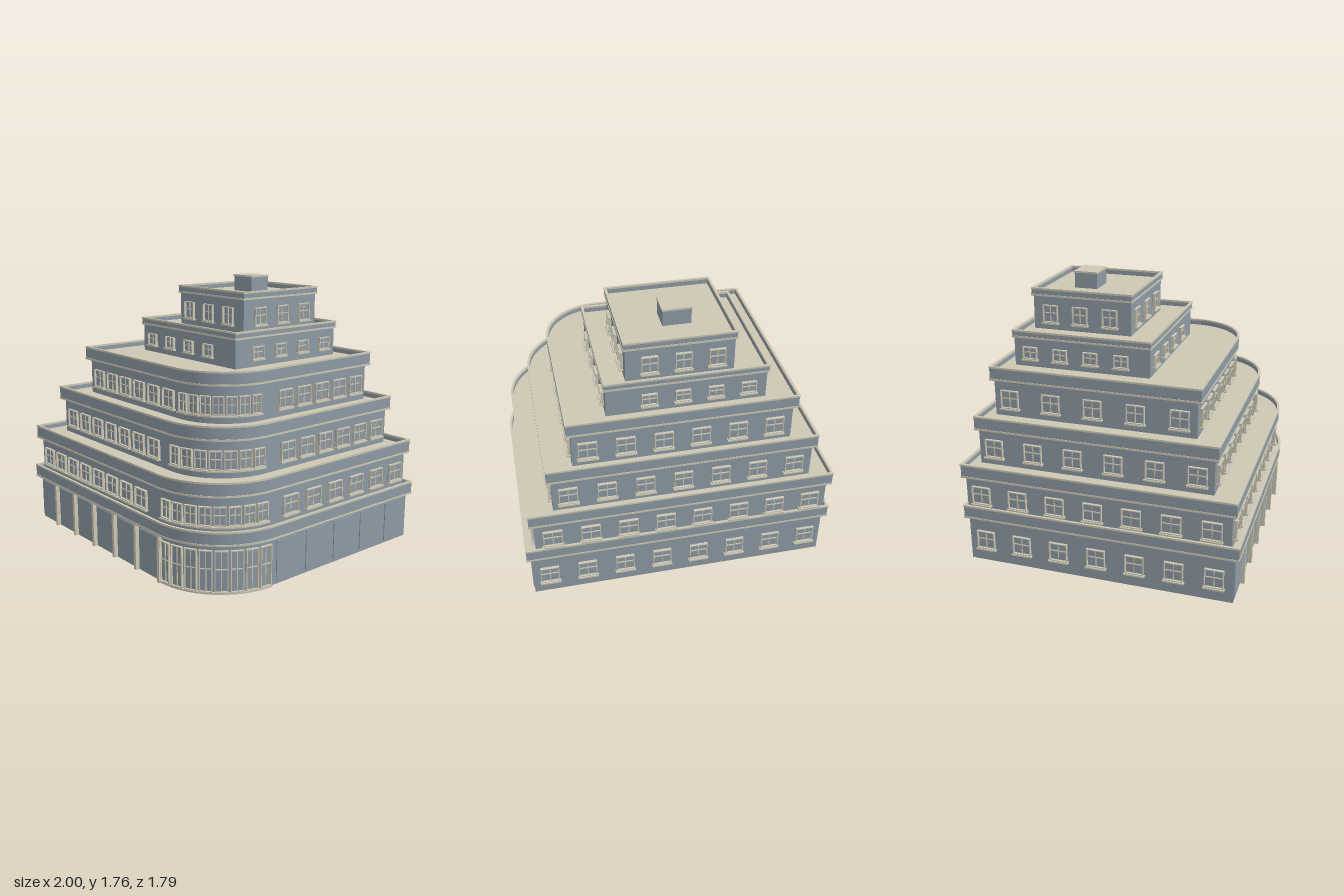
import * as THREE from 'three';
import { mergeGeometries, toCreasedNormals } from 'three/addons/utils/BufferGeometryUtils.js';

const wall = new THREE.MeshStandardMaterial({ color: 0x8d9aa5 });
wall.name = 'blue grey wall';
const cream = new THREE.MeshStandardMaterial({ color: 0xcdc8b4 });
cream.name = 'cream trim';

const TRIM = 0.012, LIP = 0.016, RECESS = 0.04;

// Floors: outer parapet plan (x0..x1, z0..z1, radius of front left corner),
// wall inset, and heights of wall base, parapet base and parapet top.
// Window rows: [first centre, last centre, count] for each side.
const floors = [
  { name: 'groundFloor', x0: -1, x1: 1, z0: -0.892, z1: 0.892, r: 0.5, inset: 0.034, insetBack: 0.02, y: [0, 0.305, 0.397],
    win: { w: 0.12, h: 0.125, y: 0.09, back: [-0.86, 0.86, 8], left: [-0.76, 0.74, 7] } },
  { name: 'secondFloor', x0: -1, x1: 0.965, z0: -0.892, z1: 0.87, r: 0.475, inset: 0.032, insetBack: 0.02, y: [0.36, 0.59, 0.685], curved: 8,
    win: { w: 0.123, h: 0.12, y: 0.412, front: [-0.86, 0.278, 8], right: [0.21, -0.77, 6], back: [-0.86, 0.82, 8], left: [-0.77, 0.72, 7] } },
  { name: 'thirdFloor', x0: -0.89, x1: 0.83, z0: -0.836, z1: 0.732, r: 0.43, inset: 0.03, insetBack: 0.02, y: [0.645, 0.877, 0.972], curved: 7,
    win: { w: 0.118, h: 0.12, y: 0.697, front: [-0.745, 0.23, 7], right: [0.11, -0.715, 6], back: [-0.745, 0.7, 7], left: [-0.715, 0.6, 6] } },
  { name: 'fourthFloor', x0: -0.755, x1: 0.687, z0: -0.777, z1: 0.588, r: 0.385, inset: 0.03, insetBack: 0.02, y: [0.93, 1.167, 1.26], curved: 7,
    win: { w: 0.118, h: 0.12, y: 0.985, front: [-0.61, 0.195, 6], right: [0, -0.655, 5], back: [-0.61, 0.56, 6], left: [-0.655, 0.45, 5] } },
  { name: 'fifthFloor', x0: -0.575, x1: 0.442, z0: -0.694, z1: 0.225, r: 0, inset: 0.012, insetBack: 0.012, y: [1.22, 1.403, 1.455],
    win: { w: 0.095, h: 0.08, y: 1.27, front: [-0.45, 0.165, 4], right: [0.03, -0.575, 4], back: [-0.45, 0.165, 4], left: [0.03, -0.575, 4] } },
  { name: 'sixthFloor', x0: -0.38, x1: 0.31, z0: -0.637, z1: 0.042, r: 0, inset: 0.012, insetBack: 0.012, y: [1.415, 1.63, 1.685],
    win: { w: 0.1, h: 0.115, y: 1.462, front: [-0.26, 0.152, 3], right: [-0.108, -0.51, 3], back: [-0.26, 0.152, 3], left: [-0.108, -0.51, 3] } },
];

// Plan outline moved inwards by d, with an optional separate back inset
function plan(f, d, back = d, Type = THREE.Shape) {
  const s = new Type();
  const x0 = f.x0 + d, x1 = f.x1 - d, z0 = f.z0 + back, z1 = f.z1 - d;
  s.moveTo(x0, -z0);
  s.lineTo(x0, -z1);
  if (f.r > 0) {
    s.lineTo(f.x1 - f.r, -z1);
    s.absarc(f.x1 - f.r, f.r - f.z1, f.r - d, -Math.PI / 2, 0, false);
  } else s.lineTo(x1, -z1);
  s.lineTo(x1, -z0);
  s.closePath();
  return s;
}

function add(group, name, geo, mat, x = 0, y = 0, z = 0, rotY = 0) {
  const m = new THREE.Mesh(geo, mat);
  m.name = name;
  m.position.set(x, y, z);
  m.rotation.y = rotY;
  group.add(m);
  return m;
}

function slab(group, name, shape, y0, y1, mat) {
  const geo = new THREE.ExtrudeGeometry(shape, { depth: y1 - y0, bevelEnabled: false, curveSegments: 28 });
  geo.rotateX(-Math.PI / 2);
  add(group, name, toCreasedNormals(geo, 0.5), mat, 0, y0);
}

function ring(f, out, inner) {
  const s = plan(f, out);
  s.holes.push(plan(f, inner, inner, THREE.Path));
  return s;
}

function box(w, h, d, x, y, z) {
  return new THREE.BoxGeometry(w, h, d).translate(x, y, z);
}

// Frame with glazing cross, and a sill when wanted; origin at bottom centre on the wall
const cache = {};
function frameGeometry(w, h, sill) {
  const t = 0.006, d = 0.018, key = `${w},${h},${sill}`;
  if (cache[key]) return cache[key];
  const parts = [
    box(t, h, d, -w / 2 + t / 2, h / 2, d / 2), box(t, h, d, w / 2 - t / 2, h / 2, d / 2),
    box(w, t, d, 0, t / 2, d / 2), box(w, t, d, 0, h - t / 2, d / 2),
    box(t, h, 0.01, 0, h / 2, 0.005), box(w, t, 0.01, 0, h * 0.55, 0.005),
  ];
  if (sill) parts.push(box(w + 0.014, 0.01, 0.026, 0, -0.005, 0.013));
  return (cache[key] = mergeGeometries(parts));
}

function addWindow(group, name, w, h, x, y, z, rotY, sill = true) {
  const g = new THREE.Group();
  g.name = name;
  add(g, 'frame', frameGeometry(w, h, sill), cream);
  add(g, 'pane', box(w, h, 0.004, 0, h / 2, 0.002), wall);
  g.position.set(x, y, z);
  g.rotation.y = rotY;
  group.add(g);
}

function windowRow(group, f, side) {
  const row = f.win[side];
  if (!row) return;
  const [a, b, n] = row, { w, h, y } = f.win;
  for (let i = 0; i < n; i++) {
    const p = a + (b - a) * i / (n - 1);
    const [x, z, rot] = {
      front: [p, f.z1 - f.inset, 0],
      back: [p, f.z0 + f.insetBack, Math.PI],
      right: [f.x1 - f.inset, p, Math.PI / 2],
      left: [f.x0 + f.inset, p, -Math.PI / 2],
    }[side];
    addWindow(group, side + 'Window', w, h, x, y, z, rot);
  }
}

// Narrow windows following the round corner
function curvedRow(group, name, f, n, y, h, sill) {
  const r = f.r - f.inset, step = Math.PI / 2 / n;
  for (let i = 0; i < n; i++) {
    const a = (i + 0.5) * step;
    addWindow(group, name, r * step * 0.88, h,
      f.x1 - f.r + Math.sin(a) * r, y, f.z1 - f.r + Math.cos(a) * r, a, sill);
  }
}

export function createModel() {
  const model = new THREE.Group();
  model.name = 'steppedBuilding';

  for (const f of floors) {
    const g = new THREE.Group();
    g.name = f.name;
    model.add(g);
    const [base, band, top] = f.y;
    const roofY = top - RECESS;

    // Walls, roof deck and parapet
    slab(g, 'walls', plan(f, f.inset, f.insetBack), base, band, wall);
    slab(g, 'parapetBase', plan(f, 0.003), band, roofY - 0.006, wall);
    slab(g, 'roofDeck', plan(f, LIP), roofY - 0.006, roofY, cream);
    slab(g, 'parapet', ring(f, 0.003, LIP), roofY - 0.006, top - TRIM, wall);
    slab(g, 'topTrim', ring(f, 0, LIP), top - TRIM, top, cream);
    slab(g, 'lowerTrim', ring(f, 0, 0.006), band + 0.002, band + 0.002 + TRIM, cream);

    for (const side of ['front', 'right', 'back', 'left']) windowRow(g, f, side);
    if (f.curved) curvedRow(g, 'cornerWindow', f, f.curved, f.win.y, f.win.h, true);
  }

  // Shop shutters, front pilasters and glazed round entrance
  const f = floors[0], ground = model.children[0];
  const front = f.z1 - f.inset, right = f.x1 - f.inset;
  for (let i = 0; i < 6; i++) {
    const w = i < 5 ? 0.198 : 0.178;
    add(ground, 'frontShutter', box(w, 0.258, 0.006, 0, 0, 0), wall, -0.86 + i * 0.248 - (i === 5 ? 0.01 : 0), 0.15, front + 0.003);
    add(ground, 'pilaster', box(0.022, 0.304, 0.03, 0, 0, 0), cream, -0.735 + i * 0.247, 0.152, front + 0.012);
  }
  for (let i = 0; i < 5; i++)
    add(ground, 'sideShutter', box(0.006, 0.258, 0.195, 0, 0, 0), wall, right + 0.003, 0.15, 0.25 - i * 0.25);
  curvedRow(ground, 'entranceDoor', f, 8, 0.012, 0.262, false);
  const step = new THREE.CylinderGeometry(f.r - 0.016, f.r - 0.016, 0.01, 32, 1, false, 0, Math.PI / 2);
  add(ground, 'entranceStep', step, cream, f.x1 - f.r, 0.006, f.z1 - f.r);

  // Rooftop hut
  add(model, 'roofHut', box(0.179, 0.1, 0.154, 0, 0, 0), wall, -0.058, 1.695, -0.35);
  add(model, 'roofHutCap', box(0.187, 0.012, 0.162, 0, 0, 0), cream, -0.058, 1.751, -0.35);

  return model;
}
